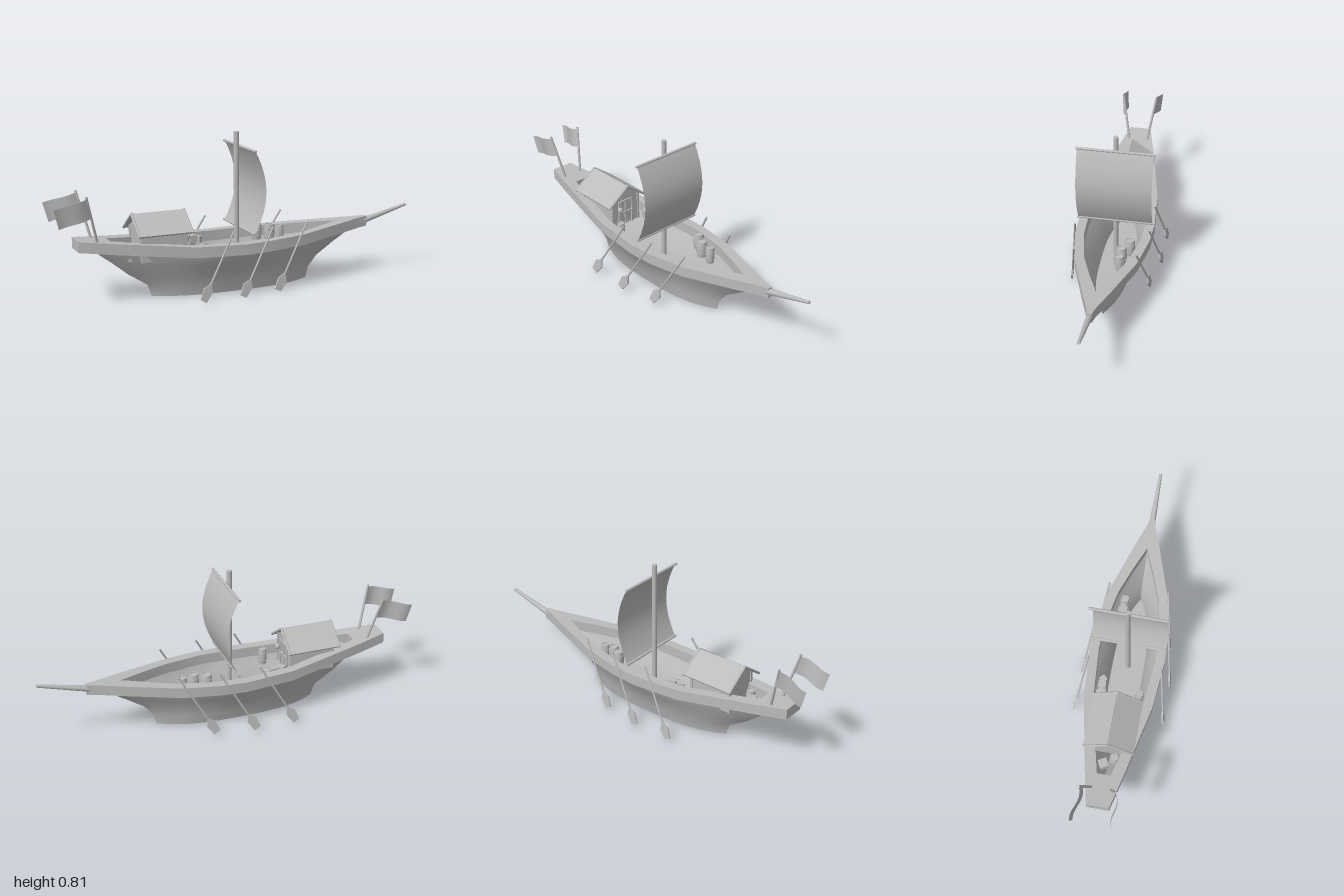
import * as THREE from 'three';
import { toCreasedNormals } from 'three/addons/utils/BufferGeometryUtils.js';

const grey = new THREE.MeshStandardMaterial({ color: 0xbbbbbb, side: THREE.DoubleSide });
grey.name = 'plain grey';
const V = (x, y, z) => new THREE.Vector3(x, y, z);

function add(parent, name, geo, x = 0, y = 0, z = 0) {
  const m = new THREE.Mesh(geo, grey);
  m.name = name;
  m.position.set(x, y, z);
  parent.add(m);
  return m;
}

// Tapered round pole from a to b
function pole(parent, name, a, b, ra, rb = ra, sides = 14) {
  const d = b.clone().sub(a);
  const m = add(parent, name, new THREE.CylinderGeometry(rb, ra, d.length(), sides));
  m.position.copy(a).addScaledVector(d, 0.5);
  m.quaternion.setFromUnitVectors(V(0, 1, 0), d.normalize());
  return m;
}

// Piecewise linear lookup in [x, value] pairs
function lerpTable(t, x) {
  let i = 0;
  while (i < t.length - 2 && x > t[i + 1][0]) i++;
  const k = (x - t[i][0]) / (t[i + 1][0] - t[i][0]);
  return t[i][1] + (t[i + 1][1] - t[i][1]) * k;
}

// Lower edge of the gunwale along the ship
const SHEER = [[-0.87, 0.277], [-0.55, 0.242], [-0.3, 0.22], [-0.04, 0.214], [0.3, 0.223], [0.75, 0.25]];
const sheer = x => lerpTable(SHEER, x);

// Skin over rows of points; rows run across, columns along
function skin(rows, closeCols, closeRows = false) {
  const n = rows[0].length, m = rows.length, idx = [];
  for (let j = 0; j < (closeRows ? m : m - 1); j++) {
    for (let i = 0; i < (closeCols ? n : n - 1); i++) {
      const j2 = (j + 1) % m, i2 = (i + 1) % n;
      const a = j * n + i, b = j * n + i2, c = j2 * n + i2, d = j2 * n + i;
      idx.push(a, d, b, b, d, c);
    }
  }
  const g = new THREE.BufferGeometry().setFromPoints(rows.flat());
  g.setIndex(idx);
  g.computeVertexNormals();
  return g;
}

function buildHull(ship) {
  // Waterlines: height fraction, stern x, bow x, half width, fullness
  const levels = [
    [0, -0.48, 0.39, 0.086, 3], [0.25, -0.5, 0.405, 0.1, 2.8], [0.5, -0.6, 0.455, 0.12, 2.4],
    [0.75, -0.685, 0.55, 0.152, 2], [0.9, -0.745, 0.615, 0.174, 1.8], [1.02, -0.795, 0.67, 0.184, 1.65]];
  const N = 56;
  const rows = levels.map(([f, xs, xb, w, p]) => Array.from({ length: N }, (_, i) => {
    const a = i / N * Math.PI * 2, c = Math.cos(a);
    const x = (xs + xb) / 2 + c * (xb - xs) / 2;
    const z = w * (1 - Math.abs(c) ** p) * (Math.sin(a) >= 0 ? 1 : -1);
    return V(x, f * sheer(x), z);
  }));
  add(ship, 'hull', skin(rows, true));
  add(ship, 'hullBottom', skin([rows[0].map(() => V(-0.045, 0, 0)), rows[0]], true));

  // Gunwale: a closed band swept around the outline
  const outer = [[-0.87, 0.058], [-0.7, 0.097], [-0.3, 0.18], [-0.04, 0.2], [0.1, 0.195], [0.3, 0.16], [0.57, 0.07], [0.71, 0.02], [0.75, 0.012]];
  const inner = [[-0.7, 0.035], [-0.62, 0.055], [-0.3, 0.13], [-0.04, 0.152], [0.1, 0.148], [0.3, 0.108], [0.44, 0.055], [0.55, 0.008], [0.57, 0.002]];
  const H = 0.055;
  const section = (i, s) => {
    const [xo, zo] = outer[i], [xi, zi] = inner[i];
    const yo = sheer(xo), yi = sheer(xi);
    return [V(xo, yo, s * zo), V(xo, yo + H, s * zo), V(xi, yi + H, s * zi), V(xi, yi, s * zi)];
  };
  const ids = outer.map((_, i) => i);
  const ring = [...ids.map(i => section(i, 1)), ...ids.reverse().map(i => section(i, -1))];
  add(ship, 'gunwale', toCreasedNormals(skin(ring, true, true), 0.5));
  pole(ship, 'bowsprit', V(0.72, 0.274, 0), V(0.998, 0.345, 0), 0.017, 0.008);
}

function buildRig(ship) {
  pole(ship, 'mast', V(-0.012, 0.01, 0), V(-0.012, 0.81, 0), 0.013, 0.013, 20);
  for (const y of [0.735, 0.313]) pole(ship, 'yard', V(0.006, y, -0.2), V(0.006, y, 0.2), 0.007);
  // Billowed sail
  const rows = [];
  for (let i = 0; i <= 20; i++) {
    const t = i / 20, x = 0.007 + 0.06 * Math.sin(Math.PI * t) ** 0.9, y = 0.313 + 0.422 * t;
    rows.push([V(x, y, -0.195), V(x, y, 0.195)]);
  }
  add(ship, 'sail', skin(rows, false));
}

function buildOars(ship) {
  const s = new THREE.Shape([[-0.018, 0], [0.018, 0], [0.026, 0.058], [0.006, 0.088], [-0.006, 0.088], [-0.026, 0.058]]
    .map(p => new THREE.Vector2(...p)));
  const blade = new THREE.ExtrudeGeometry(s, { depth: 0.009, bevelEnabled: false }).translate(0, 0, -0.0045);
  for (const [x, zTop] of [[-0.295, 0.191], [-0.08, 0.191], [0.128, 0.157]]) {
    for (const side of [1, -1]) {
      const low = V(x, 0.014, side * (zTop + 0.051)), top = V(x + 0.188, 0.343, side * zTop);
      const oar = new THREE.Group();
      oar.name = 'oar';
      const d = top.sub(low), len = d.length(), y = d.normalize();
      const xa = y.clone().cross(V(0, 0, 1)).normalize();
      oar.quaternion.setFromRotationMatrix(new THREE.Matrix4().makeBasis(xa, y, xa.clone().cross(y)));
      oar.position.copy(low);
      add(oar, 'oarBlade', blade);
      pole(oar, 'oarShaft', V(0, 0.06, 0), V(0, len, 0), 0.005, 0.005, 10);
      ship.add(oar);
    }
  }
}

function buildCabin(ship) {
  const cabin = new THREE.Group();
  cabin.name = 'cabin';
  cabin.position.set(-0.44, 0, 0);
  // Gabled walls
  const gable = new THREE.Shape([[-0.09, 0.2], [0.09, 0.2], [0.09, 0.36], [0, 0.42], [-0.09, 0.36]]
    .map(p => new THREE.Vector2(...p)));
  const walls = new THREE.ExtrudeGeometry(gable, { depth: 0.235, bevelEnabled: false });
  add(cabin, 'cabinWalls', walls.translate(0, 0, -0.1175).rotateY(Math.PI / 2));
  const slope = Math.atan2(0.09, 0.127), len = Math.hypot(0.09, 0.127);
  for (const s of [1, -1]) {
    add(cabin, 'roofSlope', new THREE.BoxGeometry(0.275, 0.009, len), 0, 0.384, s * 0.0635).rotation.x = s * slope;
    // Verge poles at both ends of the roof
    for (const e of [1, -1])
      pole(cabin, 'vergePole', V(e * 0.139, 0.338, s * 0.128), V(e * 0.139, 0.434, -s * 0.004), 0.007, 0.007, 8);
    // Corner posts
    for (const e of [1, -1])
      add(cabin, 'cornerPost', new THREE.BoxGeometry(0.012, 0.16, 0.012), e * 0.117, 0.28, s * 0.088);
  }
  // Doors with frame facing the mast
  for (const z of [-0.044, 0, 0.044])
    add(cabin, 'doorFrame', new THREE.BoxGeometry(0.009, 0.14, 0.009), 0.121, 0.27, z);
  for (const y of [0.27, 0.34])
    add(cabin, 'doorRail', new THREE.BoxGeometry(0.009, 0.009, 0.096), 0.121, y, 0);
  // Hanging lantern
  add(cabin, 'lantern', new THREE.SphereGeometry(0.014, 14, 10), 0.138, 0.303, 0.05).scale.y = 1.2;
  pole(cabin, 'lanternHook', V(0.138, 0.31, 0.05), V(0.138, 0.385, 0.05), 0.002, 0.002, 6);
  ship.add(cabin);
}

function buildCargo(ship) {
  // Barrels: x, z, radius, top height
  const list = [[0.147, -0.1, 0.028, 0.3], [0.206, -0.066, 0.028, 0.295], [0.266, -0.066, 0.024, 0.285],
    [-0.238, 0.102, 0.022, 0.275], [-0.597, 0.036, 0.024, 0.29]];
  for (const [x, z, r, top] of list) {
    const h = 0.088;
    const prof = [[0, 0], [0.82, 0], [0.96, 0.25], [1, 0.5], [0.96, 0.75], [0.84, 1], [0.7, 1], [0.7, 0.95], [0, 0.95]]
      .map(p => new THREE.Vector2(p[0] * r, p[1] * h));
    add(ship, 'barrel', toCreasedNormals(new THREE.LatheGeometry(prof, 18), 0.6), x, top - h, z);
    for (const f of [0.25, 0.75])
      add(ship, 'barrelHoop', new THREE.TorusGeometry(r * 0.97, 0.002, 6, 18).rotateX(Math.PI / 2), x, top - h + f * h, z);
  }
  // Crates: x, y, z, size, turn
  for (const [x, y, z, s, turn] of [[-0.262, 0.25, -0.1, 0.04, 0.6], [-0.218, 0.25, -0.1, 0.04, 0.1],
    [-0.185, 0.245, -0.1, 0.032, 0.8], [-0.23, 0.215, -0.1, 0.042, 0.3], [-0.635, 0.265, -0.015, 0.045, 0.5]])
    add(ship, 'crate', new THREE.BoxGeometry(s, s, s), x, y, z).rotation.y = turn;
}

function buildFlags(ship) {
  for (const s of [1, -1]) {
    pole(ship, 'flagPole', V(-0.772, 0.31, s * 0.05), V(-0.836, 0.557, s * 0.092), 0.007, 0.006, 10);
    // Rippling cloth
    const rows = [];
    for (let i = 0; i <= 12; i++) {
      const t = i / 12, w = 0.011 * Math.sin(t * 5.5);
      rows.push([V(-0.808 - 0.164 * t, 0.448 - 0.041 * t, s * 0.082 + w + s * 0.012 * t),
        V(-0.834 - 0.164 * t, 0.546 - 0.041 * t, s * 0.091 + w + s * 0.012 * t)]);
    }
    add(ship, 'flag', skin(rows, false));
  }
}

export function createModel() {
  const ship = new THREE.Group();
  ship.name = 'sailingShip';
  [buildHull, buildRig, buildOars, buildCabin, buildCargo, buildFlags].forEach(f => f(ship));
  return ship;
}
